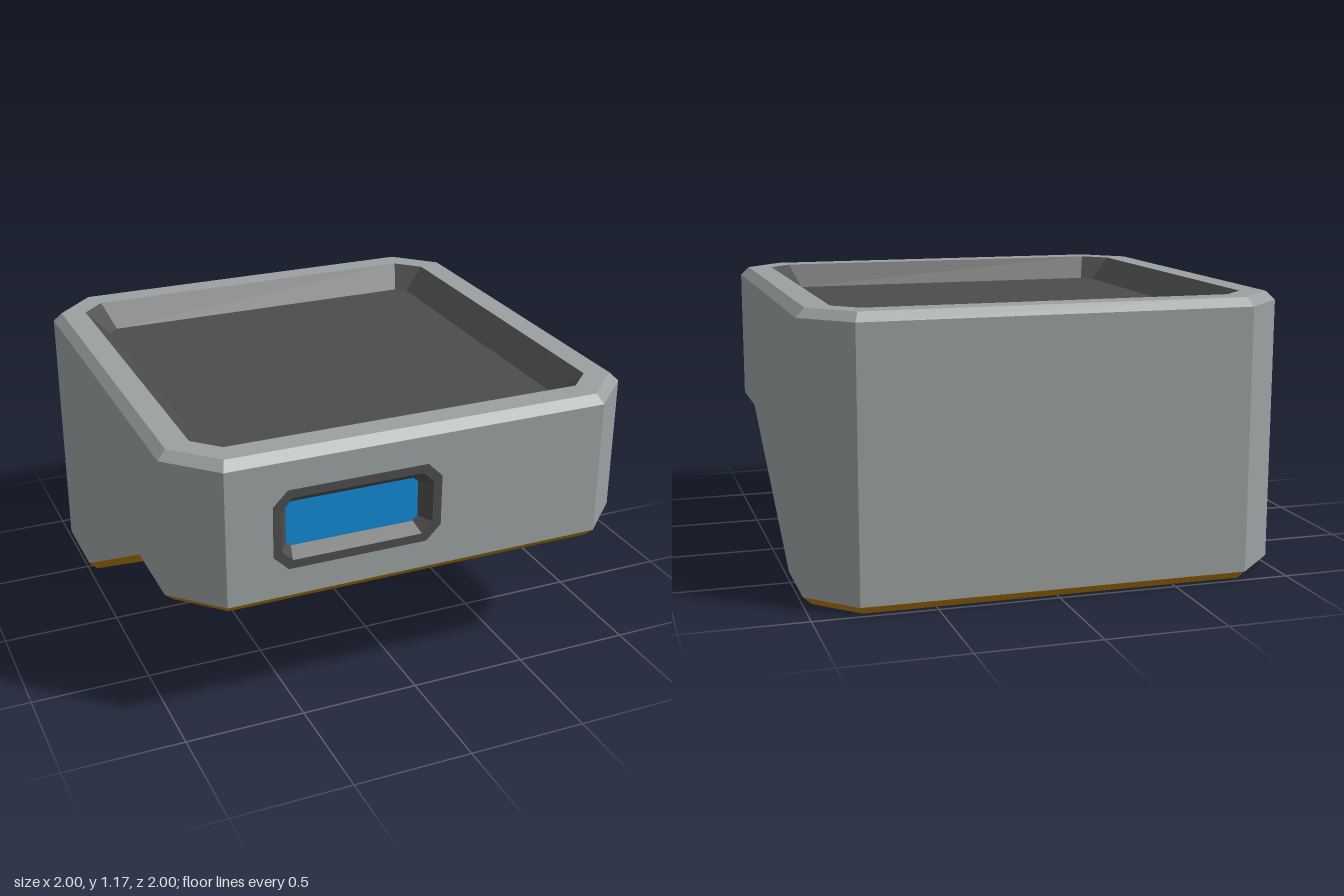
import * as THREE from 'three';

const mat = (name, color, side = THREE.FrontSide) => {
  const m = new THREE.MeshStandardMaterial({ color, side });
  m.name = name;
  return m;
};

const BREAK = 0.465; // where the underside starts and stops sloping
const TOP = 1.175, BEVEL = 0.036;

// height of the stepped underside at depth z
const under = (z) => 0.53 * THREE.MathUtils.clamp((z + BREAK) / (2 * BREAK), 0, 1);

// chamfered square ring of 12 points; height is a number or a rule of z
function ring(half, chamfer, height) {
  const k = half - chamfer;
  const xz = [
    [half, -BREAK], [half, BREAK], [half, k], [k, half], [-k, half], [-half, k],
    [-half, BREAK], [-half, -BREAK], [-half, -k], [-k, -half], [k, -half], [half, -k],
  ];
  return xz.map(([x, z]) => new THREE.Vector3(x, typeof height === 'number' ? height : height(z), z));
}

// chamfered rectangle outline in the front plane
function plate(x0, x1, y0, y1, c, z) {
  return [
    [x0 + c, y0], [x1 - c, y0], [x1, y0 + c], [x1, y1 - c],
    [x1 - c, y1], [x0 + c, y1], [x0, y1 - c], [x0, y0 + c],
  ].map(([x, y]) => new THREE.Vector3(x, y, z));
}

function flat(points) {
  const g = new THREE.BufferGeometry().setFromPoints(points);
  g.computeVertexNormals();
  return g;
}

// band of quads between two closed rings
function band(a, b, skip = -1) {
  const out = [];
  a.forEach((p, i) => {
    if (i === skip) return;
    const j = (i + 1) % a.length;
    out.push(p, b[i], a[j], a[j], b[i], b[j]);
  });
  return flat(out);
}

// flat lid over a ring
function cap(r, flip = false) {
  const out = [];
  for (let i = 1; i < r.length - 1; i++) {
    out.push(r[0], ...(flip ? [r[i], r[i + 1]] : [r[i + 1], r[i]]));
  }
  return flat(out);
}

export function createModel() {
  const model = new THREE.Group();
  model.name = 'bevelledHousing';
  const grey = mat('shellGrey', 0x9aa1a0);
  const dark = mat('darkGrey', 0x4c4c4c);
  const gold = mat('goldTrim', 0xb47a08);
  const teal = mat('darkTeal', 0x2a3a40);
  const blue = mat('displayBlue', 0x1088d0);

  const add = (name, geometry, material, parent = model) => {
    const m = new THREE.Mesh(geometry, material);
    m.name = name;
    parent.add(m);
  };

  // outer shell
  const wallLow = ring(1, 0.19, (z) => under(z) + BEVEL);
  const wallTop = ring(1, 0.19, TOP - BEVEL);
  const bevelTop = ring(1 - BEVEL, 0.17, TOP);
  const trayTop = ring(0.86, 0.1, TOP);
  const trayLow = ring(0.76, 0.042, TOP - 0.1);
  add('shellWalls', band(wallLow, wallTop, 3), grey);
  add('topBevel', band(wallTop, bevelTop), grey);
  add('topRim', band(bevelTop, trayTop), grey);

  // sunken tray on top
  add('trayWalls', band(trayTop, trayLow), dark);
  add('trayFloor', cap(trayLow), dark);

  // trim and underside ring
  const trimLow = ring(1 - BEVEL, 0.17, under);
  const opening = ring(0.785, 0.064, under);
  const ceiling = ring(0.785, 0.064, 0.91);
  add('bottomTrim', band(trimLow, wallLow), gold);
  add('undersideRing', band(opening, trimLow), teal);

  // hollow inside the underside
  add('cavityWalls', band(ceiling, opening), dark);
  add('cavityCeiling', cap(ceiling, true), dark);

  // front wall with the display opening
  const frameOuter = plate(-0.62, 0.09, 0.682, 1.02, 0.062, 1);
  const frameInner = plate(-0.585, 0.053, 0.718, 0.984, 0.045, 1);
  const screen = plate(-0.55, 0.01, 0.755, 0.945, 0.02, 0.95);
  const front = new THREE.Shape();
  const yLow = 0.53 + BEVEL, yTop = TOP - BEVEL;
  front.moveTo(-0.81, yLow).lineTo(0.81, yLow).lineTo(0.81, yTop).lineTo(-0.81, yTop).closePath();
  front.holes.push(new THREE.Path(frameOuter.map((p) => new THREE.Vector2(p.x, p.y))));
  add('frontWall', new THREE.ShapeGeometry(front).translate(0, 0, 1), grey);

  // recessed display: rings run counter-clockwise as seen from the front
  const display = new THREE.Group();
  display.name = 'frontDisplay';
  model.add(display);
  add('displayFrame', band(frameInner, frameOuter), dark, display);
  add('displayRecess', band(screen, frameInner), dark, display);
  add('displayScreen', cap(screen, true), blue, display);
  return model;
}
